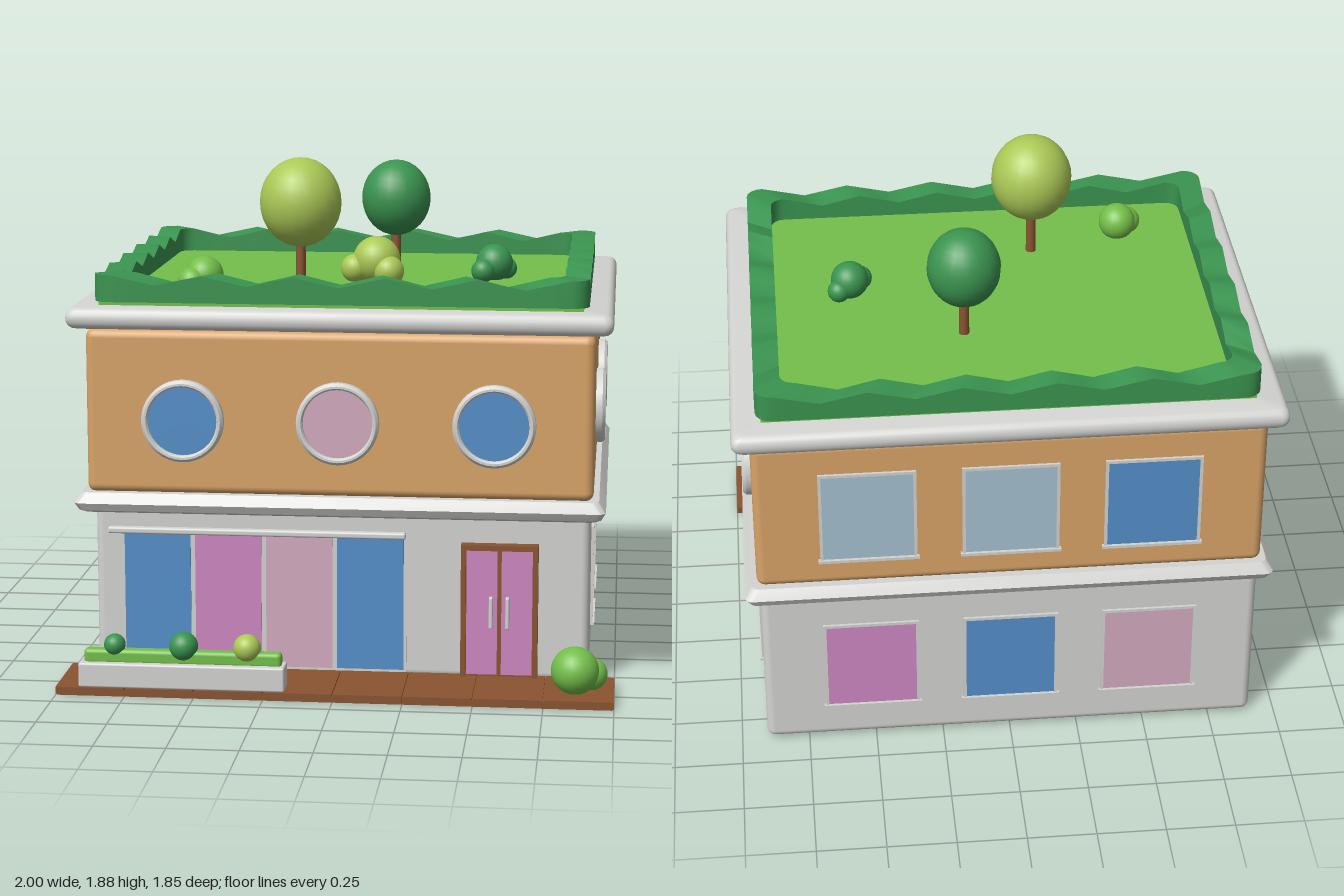
import * as THREE from 'three';
import { toCreasedNormals } from 'three/addons/utils/BufferGeometryUtils.js';
import { RoundedBoxGeometry } from 'three/addons/geometries/RoundedBoxGeometry.js';

const mat = (name, color) => {
  const m = new THREE.MeshStandardMaterial({ color });
  m.name = name;
  return m;
};

export function createModel() {
  const model = new THREE.Group();
  model.name = 'shopBuilding';
  const M = {
    stone: mat('pale grey stone', 0xd4d4d2),
    tan: mat('tan wall', 0xd9a468),
    blue: mat('blue glass', 0x5590ca),
    paleBlue: mat('pale blue glass', 0xa6c1d2),
    magenta: mat('magenta panel', 0xcf88c2),
    pink: mat('pale pink glass', 0xd3abc0),
    wood: mat('brown wood', 0x8a5430),
    grass: mat('grass green', 0x74bf4a),
    hedge: mat('deep green', 0x3a9450),
    lime: mat('lime foliage', 0xabc956),
  };

  const add = (name, geo, material, x = 0, y = 0, z = 0, parent = model) => {
    const mesh = new THREE.Mesh(geo, material);
    mesh.name = name;
    mesh.position.set(x, y, z);
    parent.add(mesh);
    return mesh;
  };
  // box given by its low and high limits
  const box = (name, m, [x0, x1], [y0, y1], [z0, z1], parent = model, r = 0) => {
    const s = [x1 - x0, y1 - y0, z1 - z0];
    const geo = r ? new RoundedBoxGeometry(...s, 3, r) : new THREE.BoxGeometry(...s);
    return add(name, geo, m, (x0 + x1) / 2, (y0 + y1) / 2, (z0 + z1) / 2, parent);
  };
  const ball = (name, m, x, y, z, r, ry = r, parent = model) => {
    const b = add(name, new THREE.SphereGeometry(r, 22, 16), m, x, y, z, parent);
    b.scale.y = ry / r;
    return b;
  };

  // points of a rounded rectangle, with subdivided straight edges; t runs 0..1 along each side
  const roundedLoop = (x1, z0, z1, r, edge = 20, corner = 4) => {
    const pts = [], cz = (z0 + z1) / 2, hz = (z1 - z0) / 2;
    const signs = [[1, 1], [-1, 1], [-1, -1], [1, -1]];
    const at = (k, a) => [signs[k][0] * (x1 - r) + r * Math.cos(a), cz + signs[k][1] * (hz - r) + r * Math.sin(a)];
    for (let k = 0; k < 4; k++) {
      for (let i = 0; i <= corner; i++) pts.push([...at(k, (k + i / corner) * Math.PI / 2), 0]);
      const p = at(k, (k + 1) * Math.PI / 2), q = at((k + 1) % 4, (k + 1) * Math.PI / 2);
      for (let i = 1; i < edge; i++) {
        const t = i / edge;
        pts.push([p[0] + (q[0] - p[0]) * t, p[1] + (q[1] - p[1]) * t, t]);
      }
    }
    return pts;
  };
  // joins closed rings of [x, y, z] points, each ring lying next to the one before
  const loft = (rings, closed, crease) => {
    const v = [], n = rings[0].length, last = closed ? rings.length : rings.length - 1;
    for (let j = 0; j < last; j++) for (let i = 0; i < n; i++) {
      const A = rings[j], B = rings[(j + 1) % rings.length], k = (i + 1) % n;
      v.push(...A[i], ...B[i], ...A[k], ...B[i], ...B[k], ...A[k]);
    }
    const g = new THREE.BufferGeometry();
    g.setAttribute('position', new THREE.Float32BufferAttribute(v, 3));
    return toCreasedNormals(g, crease);
  };
  // moulding ring from [inset, y] pairs, running from the underside centre to the top centre
  const moulding = (name, m, x1, z0, z1, profile, crease) => {
    const rings = profile.map(([d, y]) => roundedLoop(x1 - d, z0 + d, z1 - d, 0.03, 2).map(p => [p[0], y, p[1]]));
    const mid = (z0 + z1) / 2;
    const caps = y => rings[0].map(() => [0, y, mid]);
    rings.unshift(caps(profile[0][1]));
    rings.push(caps(profile[profile.length - 1][1]));
    add(name, loft(rings, false, crease), m);
  };

  // storeys and mouldings
  box('lowerWalls', M.stone, [-0.905, 0.905], [0.01, 0.66], [-0.875, 0.605], model, 0.03);
  moulding('middleCornice', M.stone, 0.96, -0.91, 0.75,
    [[0.03, 0.632], [0.015, 0.64], [0, 0.668], [0.025, 0.705]], 0.3);
  box('upperWalls', M.tan, [-0.915, 0.915], [0.7, 1.3], [-0.87, 0.705], model, 0.032);
  const bead = [];
  for (let i = 0; i <= 8; i++) {
    const a = (i / 8 - 0.5) * Math.PI;
    bead.push([0.028 * (1 - Math.cos(a)), 1.343 + 0.038 * Math.sin(a)]);
  }
  moulding('roofSlab', M.stone, 0.978, -0.933, 0.76, bead, 0.7);
  box('roofNeck', M.stone, [-0.88, 0.88], [1.29, 1.32], [-0.84, 0.67]);

  // roof garden with a wavy hedge
  box('roofLawn', M.grass, [-0.87, 0.87], [1.37, 1.402], [-0.83, 0.66]);
  const outer = roundedLoop(0.89, -0.845, 0.677, 0.06);
  const inner = roundedLoop(0.798, -0.758, 0.585, 0.05);
  const top = t => 1.474 + 0.018 * Math.cos(t * Math.PI * 10);
  add('roofHedge', loft([
    outer.map(p => [p[0], 1.394, p[1]]), outer.map(p => [p[0], top(p[2]), p[1]]),
    inner.map(p => [p[0], top(p[2]), p[1]]), inner.map(p => [p[0], 1.394, p[1]]),
  ], true, 0.6), M.hedge);

  const tree = (name, m, x, y, z, r, ry) => {
    const g = new THREE.Group();
    g.name = name;
    add('trunk', new THREE.CylinderGeometry(0.017, 0.019, y - 1.4, 12), M.wood, x, (y + 1.4) / 2, z, g);
    ball('crown', m, x, y, z, r, ry, g);
    model.add(g);
  };
  tree('limeTree', M.lime, -0.185, 1.717, 0.258, 0.152, 0.165);
  tree('darkTree', M.hedge, 0.12, 1.675, -0.328, 0.134, 0.147);

  const bush = (name, m, balls) => {
    const g = new THREE.Group();
    g.name = name;
    balls.forEach(b => ball('leaves', m, b[0], b[1], b[2], b[3], b[3], g));
    model.add(g);
  };
  bush('limeBush', M.lime, [[0.08, 1.48, 0.065, 0.09], [0, 1.45, 0.083, 0.054], [0.13, 1.445, 0.12, 0.058]]);
  bush('darkBush', M.hedge, [[0.52, 1.465, -0.015, 0.07], [0.562, 1.44, -0.052, 0.042], [0.48, 1.44, 0.04, 0.045]]);
  bush('greenBush', M.grass, [[-0.53, 1.455, 0.36, 0.07], [-0.57, 1.435, 0.402, 0.053]]);
  bush('doorBush', M.grass, [[0.86, 0.112, 0.81, 0.086], [0.918, 0.09, 0.77, 0.058]]);

  // wooden deck of boards
  box('deckBase', M.wood, [-0.995, 0.995], [0, 0.022], [0.61, 0.918]);
  for (let i = 0; i < 8; i++) {
    const x = -1 + i * 0.25;
    box('deckBoard', M.wood, [x + (i ? 0.002 : 0), x + (i < 7 ? 0.248 : 0.25)], [0.004, 0.03], [0.607, 0.92]);
  }

  // planter
  box('planter', M.stone, [-0.917, -0.172], [0.03, 0.12], [0.818, 0.918], model, 0.008);
  box('planterGrass', M.grass, [-0.9, -0.185], [0.11, 0.165], [0.843, 0.892], model, 0.015);
  ball('planterShrub', M.hedge, -0.79, 0.18, 0.87, 0.039);
  ball('planterShrub', M.hedge, -0.54, 0.18, 0.87, 0.052);
  ball('planterShrub', M.lime, -0.31, 0.18, 0.87, 0.05);

  // shop front
  box('shopFrame', M.stone, [-0.81, 0.24], [0.03, 0.54], [0.59, 0.609]);
  [M.blue, M.magenta, M.pink, M.blue].forEach((m, i) => {
    const x = -0.797 + i * 0.261;
    box('shopPane', m, [x, x + 0.244], [0.04, 0.532], [0.607, 0.614]);
  });
  box('shopRail', M.stone, [-0.857, 0.238], [0.532, 0.556], [0.6, 0.633], model, 0.008);

  // double door
  box('doorJamb', M.wood, [0.44, 0.458], [0.03, 0.522], [0.59, 0.647]);
  box('doorJamb', M.wood, [0.702, 0.72], [0.03, 0.522], [0.59, 0.647]);
  box('doorLintel', M.wood, [0.458, 0.702], [0.502, 0.522], [0.59, 0.647]);
  box('doorBacking', M.wood, [0.45, 0.71], [0.03, 0.51], [0.59, 0.63]);
  for (const s of [-1, 1]) {
    const c = 0.58 + s * 0.0635, h = 0.58 + s * 0.03;
    box('doorLeaf', M.magenta, [c - 0.056, c + 0.056], [0.038, 0.5], [0.628, 0.637]);
    box('doorHandle', M.stone, [h - 0.007, h + 0.007], [0.215, 0.332], [0.636, 0.664], model, 0.005);
  }

  // windows are built facing +z and then turned to their wall
  const place = (name, x, y, z, turn) => {
    const g = new THREE.Group();
    g.name = name;
    g.position.set(x, y, z);
    g.rotation.y = turn * Math.PI / 2;
    model.add(g);
    return g;
  };
  const roundWindow = (m, x, z, turn, r, rIn) => {
    const g = place('roundWindow', x, 0.973, z, turn);
    const profile = [[r, -0.01], [r, 0.025], [r - 0.01, 0.036], [rIn + 0.006, 0.036], [rIn, 0.028], [rIn, -0.01]]
      .map(p => new THREE.Vector2(...p));
    const ring = toCreasedNormals(new THREE.LatheGeometry(profile, 36).rotateX(Math.PI / 2), 0.5);
    add('windowRing', ring, M.stone, 0, 0, 0, g).material.side = THREE.DoubleSide;
    add('roundGlass', new THREE.CircleGeometry(rIn + 0.002, 36), m, 0, 0, 0.015, g);
  };
  const squareWindow = (m, x, y, z, turn) => {
    const g = place('squareWindow', x, y, z, turn);
    const w = 0.163, h = 0.176, f = 0.011;
    for (const s of [-1, 1]) {
      box('frameSide', M.stone, [s * w + (s - 1) / 2 * f, s * w + (s + 1) / 2 * f], [-h, h], [-0.01, 0.01], g);
    }
    box('frameTop', M.stone, [-w - f, w + f], [h, h + f], [-0.01, 0.01], g);
    box('sill', M.stone, [-w - 0.018, w + 0.018], [-h - f, -h], [-0.01, 0.016], g);
    box('glass', m, [-w, w], [-h, h], [-0.002, 0.005], g);
  };

  [M.blue, M.pink, M.blue].forEach((m, i) => roundWindow(m, (i - 1) * 0.56, 0.704, 0, 0.149, 0.125));
  [[0.25, M.pink, M.magenta], [-0.43, M.paleBlue, M.magenta]].forEach(([z, a, b]) => {
    roundWindow(a, 0.914, z, 1, 0.137, 0.117);
    roundWindow(b, -0.914, z, -1, 0.137, 0.117);
  });
  [[0.138, M.blue, M.blue], [-0.403, M.paleBlue, M.pink]].forEach(([z, a, b]) => {
    squareWindow(a, 0.905, 0.335, z, 1);
    squareWindow(b, -0.905, 0.335, z, -1);
  });
  [[0.51, M.paleBlue, M.magenta], [0, M.paleBlue, M.blue], [-0.51, M.blue, M.pink]].forEach(([x, a, b]) => {
    squareWindow(a, x, 0.99, -0.87, 2);
    squareWindow(b, x, 0.335, -0.875, 2);
  });

  return model;
}
